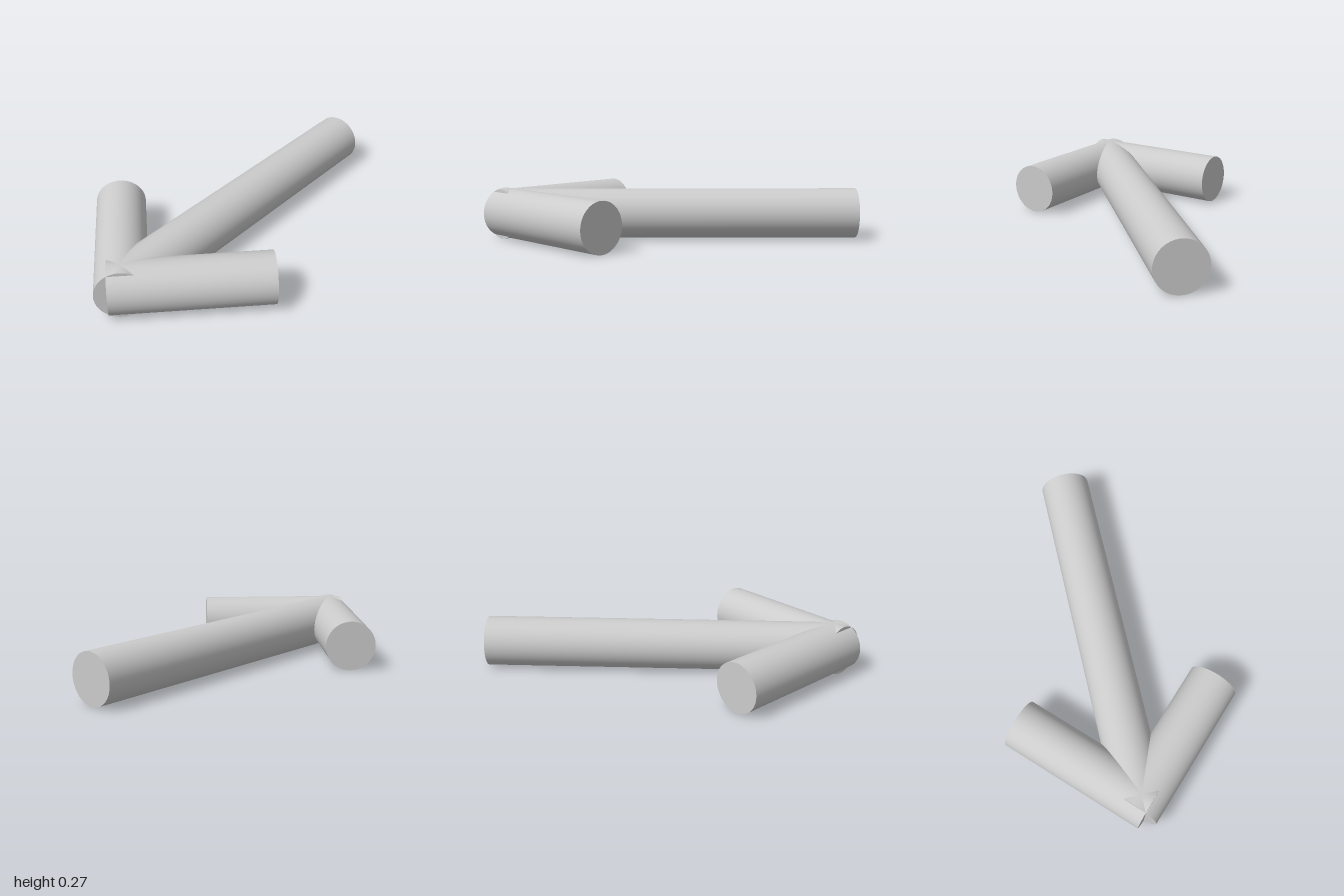
import * as THREE from 'three';

const R = 0.133;
const material = new THREE.MeshStandardMaterial({ color: 0xcccccc });

// Closed round rod between two points [x, z] lying on the ground
function rod(name, [x0, z0], [x1, z1]) {
  const a = new THREE.Vector3(x0, R, z0);
  const b = new THREE.Vector3(x1, R, z1);
  const mesh = new THREE.Mesh(new THREE.CylinderGeometry(R, R, a.distanceTo(b), 64), material);
  mesh.name = name;
  mesh.position.copy(a).add(b).multiplyScalar(0.5);
  mesh.quaternion.setFromUnitVectors(new THREE.Vector3(0, 1, 0), b.sub(a).normalize());
  return mesh;
}

export function createModel() {
  const model = new THREE.Group();
  model.name = 'arrow';

  // Shaft ends where the two barb axes cross
  model.add(rod('shaft', [0, -1], [0, 0.86]));

  // Mirrored barbs at 45 degrees, each running slightly past the crossing
  for (const [name, s] of [['leftBarb', 1], ['rightBarb', -1]]) {
    model.add(rod(name, [-0.046 * s, 0.906], [0.526 * s, 0.334]));
  }
  return model;
}
